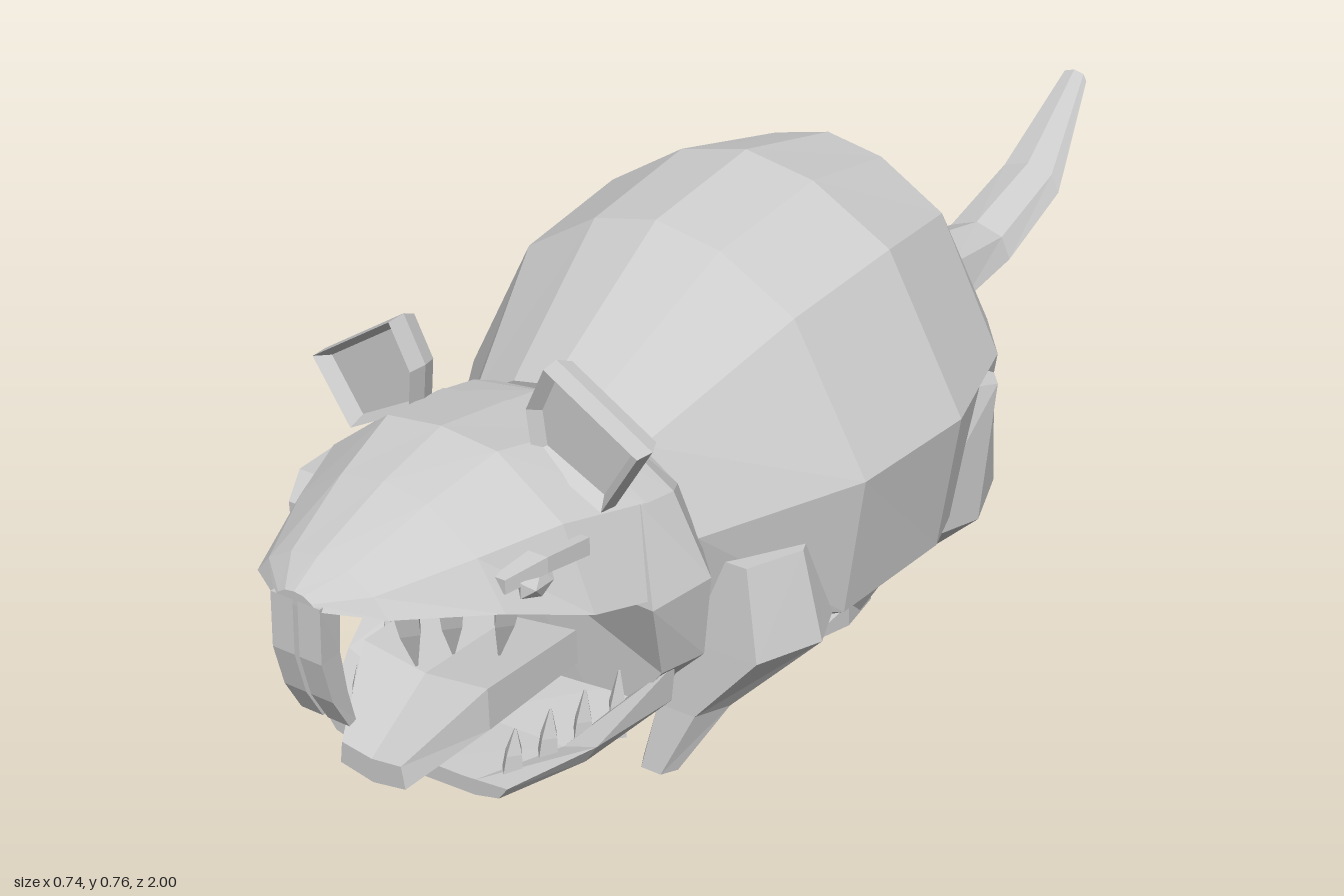
import * as THREE from 'three';

const material = new THREE.MeshStandardMaterial({ color: 0xcccccc, flatShading: true, side: THREE.DoubleSide });

function addMesh(parent, name, geometry) {
  const mesh = new THREE.Mesh(geometry, material);
  mesh.name = name;
  parent.add(mesh);
  return mesh;
}

// Skin a row of equal-length rings of [x, y, z] points, cap both ends, face outward
function loft(rings) {
  const n = rings[0].length;
  const points = rings.flat();
  const faces = [];
  for (let i = 0; i < rings.length - 1; i++) {
    for (let j = 0; j < n; j++) {
      const a = i * n + j, b = i * n + (j + 1) % n;
      faces.push([a, a + n, b], [a + n, b + n, b]);
    }
  }
  const cap = (start, flip) => {
    const ring = points.slice(start, start + n);
    points.push([0, 1, 2].map(k => ring.reduce((s, p) => s + p[k], 0) / n));
    const c = points.length - 1;
    for (let j = 0; j < n; j++) {
      const a = start + j, b = start + (j + 1) % n;
      faces.push(flip ? [c, b, a] : [c, a, b]);
    }
  };
  const last = (rings.length - 1) * n;
  cap(0, false);
  cap(last, true);
  const v = points.map(p => new THREE.Vector3(...p));
  const volume = faces.reduce((s, [a, b, c]) => s + v[a].dot(v[b].clone().cross(v[c])), 0);
  const index = faces.flatMap(([a, b, c]) => (volume < 0 ? [a, c, b] : [a, b, c]));
  const geometry = new THREE.BufferGeometry();
  geometry.setAttribute('position', new THREE.Float32BufferAttribute(points.flat(), 3));
  geometry.setIndex(index);
  const flat = geometry.toNonIndexed();
  flat.computeVertexNormals();
  return flat;
}

// Half a cross-section, top centre to bottom centre, mirrored to a full ring
function mirrorRing(z, half) {
  const right = half.map(([x, y, dz = 0]) => [x, y, z + dz]);
  const left = right.slice(1, -1).reverse().map(([x, y, d]) => [-x, y, d]);
  return [...right, ...left];
}

// Horizontal leg section with bevelled corners
function legRing([y, x0, x1, z0, z1]) {
  const mx = (x0 + x1) / 2, w = (x1 - x0) * 0.28;
  const mz = (z0 + z1) / 2;
  return [[mx - w, y, z1], [mx + w, y, z1], [x1, y, mz], [mx + w, y, z0], [mx - w, y, z0], [x0, y, mz]];
}

// Four-sided tapering tooth, from base to tip
function tooth(base, tip, rx, rz) {
  const mid = base.map((b, k) => b * 0.5 + tip[k] * 0.5);
  const ring = ([x, y, z], s) => [[x + rx * s, y, z], [x, y, z + rz * s], [x - rx * s, y, z], [x, y, z - rz * s]];
  return loft([ring(base, 1), ring(mid, 0.75), ring(tip, 0.1)]);
}

function buildBody(model) {
  const profile = [[0, 1], [0.31, 0.93], [0.66, 0.7], [1, 0], [0.91, -0.73], [0.5, -0.97], [0, -1]];
  // z, top, bottom, half width, height of widest point, forward lean
  const sections = [
    [-0.36, 0.46, 0.31, 0.1, 0.39, 0], [-0.32, 0.55, 0.26, 0.21, 0.41, 0], [-0.18, 0.72, 0.18, 0.305, 0.43, 0],
    [0.04, 0.76, 0.135, 0.368, 0.43, 0], [0.26, 0.725, 0.125, 0.345, 0.42, 0], [0.47, 0.57, 0.2, 0.215, 0.39, 0.03],
  ];
  addMesh(model, 'body', loft(sections.map(([z, top, bottom, w, mid, lean]) =>
    mirrorRing(z, profile.map(([x, t]) => [x * w, mid + t * (t > 0 ? top - mid : mid - bottom), lean * t])))));

  // Tail: z, centre height, half height, half width
  const tail = [
    [-0.3, 0.43, 0.12, 0.15], [-0.37, 0.405, 0.095, 0.12], [-0.47, 0.375, 0.07, 0.085],
    [-0.66, 0.37, 0.042, 0.066], [-0.84, 0.43, 0.033, 0.062], [-1, 0.577, 0.013, 0.025],
  ];
  addMesh(model, 'tail', loft(tail.map(([z, y, h, w]) =>
    mirrorRing(z, [[0, y + h], [w * 0.75, y + h * 0.6], [w, y - h * 0.3], [w * 0.5, y - h], [0, y - h]]))));
}

function buildHead(model) {
  const head = new THREE.Group();
  head.name = 'head';
  model.add(head);

  // Back of the skull, whose front cap is the back of the mouth
  addMesh(head, 'skull', loft([
    mirrorRing(0.46, [[0, 0.56, 0.04], [0.1, 0.55, 0.04], [0.19, 0.47, 0.02], [0.215, 0.37], [0.2, 0.26, -0.02], [0.12, 0.19], [0, 0.17]]),
    mirrorRing(0.53, [[0, 0.575], [0.11, 0.56], [0.22, 0.49], [0.278, 0.38], [0.265, 0.26], [0.16, 0.155], [0, 0.13]]),
    mirrorRing(0.6, [[0, 0.585], [0.11, 0.572], [0.22, 0.5], [0.265, 0.38, 0.04], [0.247, 0.26], [0.16, 0.145], [0, 0.115]]),
  ]));
  addMesh(head, 'upperJaw', loft([
    mirrorRing(0.59, [[0, 0.585], [0.11, 0.572], [0.22, 0.5], [0.265, 0.38], [0.23, 0.375], [0, 0.42]]),
    mirrorRing(0.72, [[0, 0.602], [0.09, 0.592], [0.19, 0.52], [0.235, 0.405], [0.205, 0.405], [0, 0.45]]),
    mirrorRing(0.83, [[0, 0.572], [0.07, 0.562], [0.145, 0.51], [0.185, 0.445], [0.155, 0.45], [0, 0.475]]),
    mirrorRing(0.95, [[0, 0.525], [0.045, 0.517], [0.085, 0.495], [0.107, 0.47], [0.08, 0.47], [0, 0.478]]),
    mirrorRing(0.995, [[0, 0.497], [0.015, 0.495], [0.027, 0.488], [0.035, 0.48], [0.02, 0.478], [0, 0.478]]),
  ]));
  addMesh(head, 'lowerJaw', loft([
    mirrorRing(0.57, [[0, 0.2], [0.2, 0.215], [0.247, 0.26], [0.24, 0.2], [0.15, 0.145], [0, 0.12]]),
    mirrorRing(0.7, [[0, 0.165], [0.16, 0.17], [0.215, 0.19], [0.195, 0.16], [0.13, 0.12], [0, 0.105]]),
    mirrorRing(0.81, [[0, 0.155], [0.1, 0.158], [0.155, 0.165], [0.14, 0.145], [0.1, 0.135], [0, 0.13]]),
  ]));
  addMesh(head, 'tongue', loft([
    mirrorRing(0.58, [[0, 0.265], [0.11, 0.28], [0.11, 0.23], [0, 0.2]]),
    mirrorRing(0.78, [[0, 0.268], [0.105, 0.282], [0.105, 0.22], [0, 0.21]]),
    mirrorRing(0.89, [[0, 0.198], [0.05, 0.205], [0.055, 0.172], [0, 0.162]]),
  ]));
}

function buildSide() {
  const side = new THREE.Group();

  // Legs: height, x range, z range
  addMesh(side, 'frontLeg', loft([
    [0.34, 0.14, 0.3, 0.26, 0.43], [0.21, 0.15, 0.335, 0.25, 0.45],
    [0.1, 0.115, 0.225, 0.36, 0.465], [0, 0.11, 0.17, 0.44, 0.487],
  ].map(legRing)));
  addMesh(side, 'hindLeg', loft([
    [0.43, 0.25, 0.355, -0.12, -0.06], [0.2, 0.14, 0.335, -0.21, 0.04],
    [0.1, 0.1, 0.22, -0.085, 0.035], [0.01, 0.095, 0.165, -0.07, 0.02],
  ].map(legRing)));
  const footRing = (z, x0, x1, y0, y1) => [[x0, y0, z], [x1, y0, z], [x1, y1, z], [x0, y1, z]];
  addMesh(side, 'hindFoot', loft([
    footRing(-0.07, 0.1, 0.16, 0.01, 0.07), footRing(0.02, 0.085, 0.175, 0.012, 0.05), footRing(0.09, 0.09, 0.165, 0.02, 0.033),
  ]));

  // Ear: a thick plate with a scooped front
  const earOutline = [[0.125, 0.695], [0.27, 0.608], [0.21, 0.515], [0.1, 0.57], [0.093, 0.63]];
  const cx = 0.165, cy = 0.605;
  const earRing = (z, s) => earOutline.map(([x, y]) => [cx + (x - cx) * s, cy + (y - cy) * s, z]);
  addMesh(side, 'ear', loft([earRing(0.615, 0.88), earRing(0.64, 1), earRing(0.668, 0.97), earRing(0.65, 0.8)]));

  // Eye under a sloping brow
  const eye = addMesh(side, 'eye', new THREE.IcosahedronGeometry(0.026, 0));
  eye.scale.set(0.7, 0.8, 1.3);
  eye.position.set(0.188, 0.465, 0.775);
  addMesh(side, 'brow', loft([
    footRing(0.7, 0.18, 0.215, 0.475, 0.5), footRing(0.77, 0.165, 0.205, 0.48, 0.502), footRing(0.82, 0.14, 0.178, 0.465, 0.485),
  ]));

  // Curved incisor
  addMesh(side, 'incisor', loft([[0.485, 0.975, 0.02], [0.41, 0.982, 0.018], [0.35, 0.972, 0.015], [0.303, 0.955, 0.008]].map(
    ([y, z, d]) => [[0.004, y, z - d], [0.036, y, z - d], [0.04, y, z + d], [0.004, y, z + d]])));

  // Fangs: base then tip
  const fangs = [
    [[0.095, 0.48, 0.91], [0.09, 0.37, 0.89]],
    [[0.125, 0.47, 0.86], [0.115, 0.375, 0.85]],
    [[0.16, 0.455, 0.79], [0.132, 0.345, 0.785]],
  ];
  for (const [base, tip] of fangs) addMesh(side, 'upperFang', tooth(base, tip, 0.022, 0.025));
  for (let i = 0; i < 4; i++) {
    const z = 0.77 - i * 0.05, x = 0.13 + i * 0.018;
    addMesh(side, 'lowerTooth', tooth([x, 0.155, z], [x + 0.005, 0.225 + i * 0.009, z - 0.005], 0.018, 0.02));
  }
  return side;
}

// Copy one side's parts to the other side
function mirrored(group) {
  const copy = group.clone(true);
  copy.scale.x = -1;
  return copy;
}

export function createModel() {
  const model = new THREE.Group();
  model.name = 'rat';
  buildBody(model);
  buildHead(model);
  const left = buildSide();
  left.name = 'leftSide';
  const right = mirrored(left);
  right.name = 'rightSide';
  model.add(left, right);
  return model;
}
